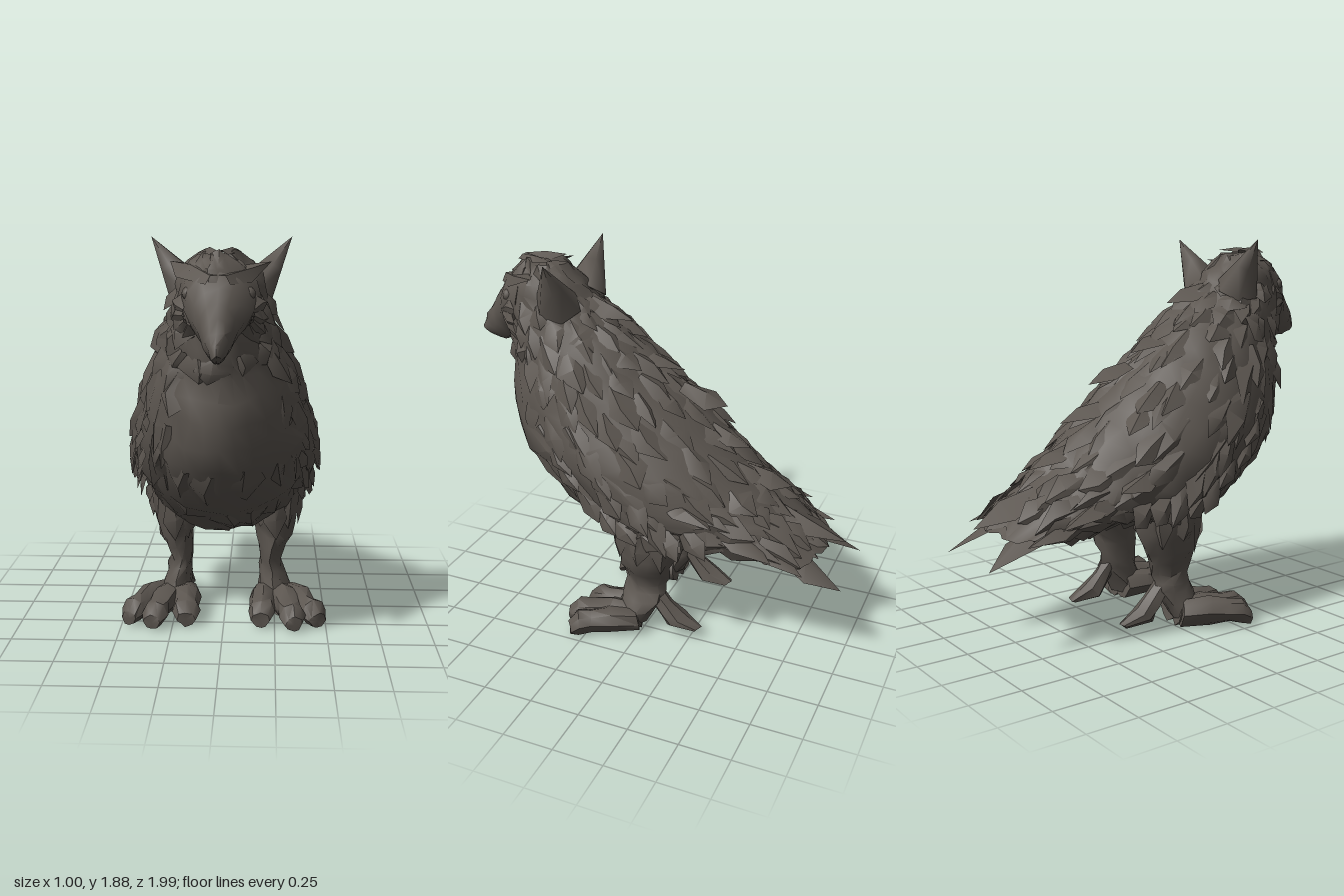
import * as THREE from 'three';
import { mergeGeometries, mergeVertices, toCreasedNormals } from 'three/addons/utils/BufferGeometryUtils.js';

const V = (x, y, z) => new THREE.Vector3(x, y, z);
let seed = 7;
const rnd = () => ((seed = (seed * 16807) % 2147483647) / 2147483647);
const jit = (a) => (rnd() - 0.5) * 2 * a;

// A ring is [zBack, yBack, zFront, yFront, halfWidth, centreX]; angle 0 is its back (upper) point.
// The front (lower) half is narrower, like an egg.
function ringPoint(r, a) {
  const c = Math.cos(a), s = Math.sin(a), [z0, y0, z1, y1, w, x = 0] = r;
  const egg = 1 - 0.25 * Math.max(0, -c);
  return V(x + w * s * egg, (y0 + y1) / 2 + (c * (y0 - y1)) / 2, (z0 + z1) / 2 + (c * (z0 - z1)) / 2);
}
function surfacePoint(rings, t, a) {
  const i = Math.max(0, Math.min(rings.length - 2, Math.floor(t)));
  return ringPoint(rings[i], a).lerp(ringPoint(rings[i + 1], a), t - i);
}
function axisPoint(rings, t) {
  return surfacePoint(rings, t, 0).lerp(surfacePoint(rings, t, Math.PI), 0.5);
}

// Capped skin over rings, slightly roughened
function loft(rings, sides, rough, steps = 1, crease = 0.6) {
  const pos = [], idx = [], n = (rings.length - 1) * steps;
  for (let j = 0; j <= n; j++)
    for (let i = 0; i < sides; i++) {
      const p = surfacePoint(rings, j / steps, (i / sides) * Math.PI * 2);
      pos.push(p.x + jit(rough), p.y + jit(rough), p.z + jit(rough));
      if (j === n) continue;
      const a = j * sides + i, b = j * sides + ((i + 1) % sides);
      idx.push(a, b, a + sides, b, b + sides, a + sides);
    }
  [0, n].forEach((j, k) => {
    const c = axisPoint(rings, j / steps), m = pos.length / 3;
    pos.push(c.x, c.y, c.z);
    for (let i = 0; i < sides; i++) {
      const a = j * sides + i, b = j * sides + ((i + 1) % sides);
      k ? idx.push(a, b, m) : idx.push(b, a, m);
    }
  });
  const g = new THREE.BufferGeometry();
  g.setAttribute('position', new THREE.Float32BufferAttribute(pos, 3));
  g.setIndex(idx);
  return toCreasedNormals(mergeVertices(g), crease);
}

// Ridged, slightly crooked feather leaf from root to tip
function feather(root, tip, width, up) {
  const d = tip.clone().sub(root);
  const side = d.clone().cross(up).normalize();
  const n = side.clone().cross(d).normalize();
  const at = (u, s, h) => root.clone().addScaledVector(d, u).addScaledVector(side, s * width).addScaledVector(n, h * width);
  const p = [at(0, -0.6, -0.3), at(0, 0, 0.05), at(0, 0.6, -0.3), at(0.5 + jit(0.15), -1, -0.25 + jit(0.15)),
    at(0.5, jit(0.3), 0.25), at(0.5 + jit(0.15), 1, -0.25 + jit(0.15)), at(1, jit(0.15), 0)];
  const g = new THREE.BufferGeometry().setFromPoints(p);
  g.setIndex([0, 1, 4, 0, 4, 3, 1, 2, 5, 1, 5, 4, 3, 4, 6, 4, 5, 6]);
  return toCreasedNormals(g, 0.9);
}

const bodyRings = [
  [0.51, 1.81, 0.72, 1.84, 0.09], [0.43, 1.73, 0.80, 1.76, 0.18], [0.36, 1.65, 0.84, 1.60, 0.20],
  [0.27, 1.58, 0.82, 1.43, 0.24], [0.12, 1.46, 0.79, 1.30, 0.30], [-0.02, 1.32, 0.82, 1.10, 0.36],
  [-0.17, 1.19, 0.75, 0.88, 0.42], [-0.32, 1.05, 0.50, 0.64, 0.45], [-0.46, 0.91, 0.25, 0.48, 0.42],
  [-0.59, 0.79, -0.05, 0.56, 0.365], [-0.72, 0.68, -0.30, 0.60, 0.31], [-0.86, 0.57, -0.68, 0.54, 0.24],
];
const beakRings = [
  [0.68, 1.82, 0.72, 1.47, 0.18], [0.80, 1.75, 0.79, 1.44, 0.145], [0.89, 1.63, 0.83, 1.40, 0.085],
  [0.96, 1.52, 0.87, 1.385, 0.055], [1.0, 1.43, 0.92, 1.39, 0.02],
];
const legRings = [
  [-0.22, 0.68, 0.17, 0.66, 0.14, 0.25], [-0.21, 0.52, 0.15, 0.52, 0.13, 0.24], [-0.15, 0.40, 0.12, 0.40, 0.095, 0.25],
  [-0.11, 0.28, 0.10, 0.28, 0.055, 0.225], [-0.10, 0.20, 0.12, 0.18, 0.07, 0.24], [-0.01, 0.06, 0.17, 0.03, 0.10, 0.26],
];
const toeRings = [
  [0.0, 0.15, -0.02, 0.02, 0.06], [0.14, 0.17, 0.14, 0.02, 0.075], [0.25, 0.145, 0.25, 0.025, 0.06],
  [0.32, 0.145, 0.32, 0.015, 0.065], [0.37, 0.09, 0.365, 0.015, 0.045],
];
const hindToeRings = [
  [-0.08, 0.26, -0.04, 0.17, 0.045, 0.23], [-0.14, 0.19, -0.09, 0.10, 0.05, 0.23],
  [-0.21, 0.13, -0.13, 0.05, 0.065, 0.23], [-0.30, 0.07, -0.27, 0.05, 0.03, 0.23],
];

export function createModel() {
  seed = 7;
  const model = new THREE.Group();
  const plumage = new THREE.MeshStandardMaterial({ color: 0x5c5650, side: THREE.DoubleSide });
  plumage.name = 'dark grey brown';
  const add = (name, geo, parent = model) => {
    const m = new THREE.Mesh(geo, plumage);
    m.name = name;
    parent.add(m);
    return m;
  };

  add('body', loft(bodyRings, 26, 0.014, 2, 0.8));
  add('beak', loft(beakRings, 12, 0.005, 2, 0.9));

  // A feather lying on the body from ring position t, with a lifted tip
  const bodyFeather = (t, a, length, width, lift) => {
    const root = surfacePoint(bodyRings, t, a);
    const out = root.clone().sub(axisPoint(bodyRings, t)).normalize();
    const tip = surfacePoint(bodyRings, Math.min(11, t + length), a + jit(0.12)).addScaledVector(out, lift);
    return feather(root, tip, width, out);
  };

  // Overlapping feathers along the head, back and flanks
  const coat = [];
  for (let row = 0; row < 15; row++)
    for (let i = 0; i < 11; i++) {
      const a = ((i + (row % 2) * 0.5) / 11 - 0.5) * 4.5 + jit(0.15);
      coat.push(bodyFeather(1.7 + row * 0.58 + jit(0.2), a, 0.8 + rnd() * 0.5, 0.05 + rnd() * 0.04, 0.005 + rnd() * 0.03));
    }
  // Broad ragged fringes across the throat, breast, belly and under the tail
  for (const [t, n] of [[3.3, 5], [6.2, 5], [7.0, 5], [7.9, 5], [8.7, 5], [9.4, 5], [10.0, 5]])
    for (let i = 0; i < n; i++)
      coat.push(bodyFeather(t + jit(0.25), Math.PI + (i / (n - 1) - 0.5) * 1.8 + jit(0.12), 0.75, 0.07 + rnd() * 0.04, 0.004));
  add('bodyFeathers', mergeGeometries(coat));

  // Tail fan: root x, y, z, tip x, y, z, width
  const tail = [];
  for (const s of [1, -1])
    for (const [x, y, z, X, Y, Z, w] of [
      [0.14, 0.65, -0.60, 0.20, 0.45, -0.99, 0.08], [0.08, 0.70, -0.65, 0.12, 0.56, -0.86, 0.08],
      [0.22, 0.67, -0.50, 0.29, 0.55, -0.83, 0.08], [0.27, 0.73, -0.40, 0.35, 0.62, -0.69, 0.08],
      [0.32, 0.86, -0.14, 0.40, 0.76, -0.41, 0.08], [0.14, 0.62, -0.45, 0.17, 0.52, -0.78, 0.08],
    ]) tail.push(feather(V(x * s, y, z), V(X * s, Y, Z), w, V(0.2 * s, 1, -0.3)));
  tail.push(feather(V(0, 0.75, -0.62), V(0, 0.60, -0.96), 0.11, V(0, 1, -0.3)));
  // Raised tips along the spine
  for (const [y, z] of [[1.58, 0.15], [1.35, -0.1], [1.21, -0.33], [1.03, -0.47], [0.84, -0.67]])
    tail.push(feather(V(0, y + 0.09, z + 0.22), V(jit(0.04), y, z), 0.09, V(0, 1, -0.2)));
  add('tailAndSpineFeathers', mergeGeometries(tail));

  for (const s of [1, -1]) {
    const side = new THREE.Group();
    side.name = s > 0 ? 'leftSide' : 'rightSide';
    side.scale.x = s;
    model.add(side);

    // Folded wing: drooping feather tips along its lower edge
    const wing = [];
    for (let i = 0; i < 8; i++) {
      const t = 5.4 + i * 0.45;
      for (const [a, drop, out] of [[1.5, 0.17, 0.03], [1.9, 0.12, 0.04]]) {
        const root = surfacePoint(bodyRings, t, a + jit(0.08));
        const tip = root.clone().add(V(out + jit(0.012), -drop + jit(0.04), -0.12));
        tip.y = Math.max(tip.y, 0.59 + jit(0.02));
        wing.push(feather(root, tip, 0.06, V(1, 0.2, 0)));
      }
    }
    add('wingFeathers', mergeGeometries(wing), side);

    // Pointed ear tuft leaning outwards
    const ear = new THREE.ConeGeometry(0.15, 0.3, 6, 2);
    ear.scale(0.7, 1, 0.8);
    ear.applyQuaternion(new THREE.Quaternion().setFromUnitVectors(V(0, 1, 0), V(0.57, 0.82, -0.08).normalize()));
    ear.translate(0.225, 1.77, 0.475);
    add('earTuft', toCreasedNormals(ear, 1.1), side);

    // Brow, crown and cheek ruff
    const face = [];
    face.push(feather(V(0.03, 1.74, 0.83), V(0.22, 1.79, 0.58), 0.06, V(0.3, 1, 0.6)));
    face.push(feather(V(0.01, 1.84, 0.74), V(0.07, 1.84, 0.54), 0.05, V(0, 1, 0)));
    for (let i = 0; i < 5; i++) {
      const b = -0.4 + i * 0.5;
      face.push(feather(V(0.11 + 0.04 * Math.cos(b), 1.58 - 0.05 * Math.sin(b), 0.79), V(0.14 + 0.07 * Math.cos(b), 1.57 - 0.14 * Math.sin(b), 0.69), 0.05, V(0.5, 0, 1)));
    }
    add('faceFeathers', mergeGeometries(face), side);
    const eye = new THREE.SphereGeometry(0.03, 10, 8);
    eye.translate(0.125, 1.665, 0.765);
    add('eye', eye, side);

    // Leg, thigh feathers, three front toes and a hind toe
    add('leg', loft(legRings, 10, 0.01, 2, 0.8), side);
    const thigh = [];
    for (let i = 0; i < 8; i++) {
      const a = (i / 8) * Math.PI * 2;
      const root = surfacePoint(legRings, 0.3, a), tip = surfacePoint(legRings, 1.4 + rnd() * 0.8, a);
      const out = V(Math.sin(a), 0, -Math.cos(a));
      thigh.push(feather(root, tip.addScaledVector(out, 0.012), 0.06, out));
    }
    add('thighFeathers', mergeGeometries(thigh), side);
    for (const [x, turn, len] of [[0.20, -0.06, 0.84], [0.27, 0.2, 1.0], [0.31, 0.46, 0.92]]) {
      const toe = add('frontToe', loft(toeRings, 8, 0.007, 1, 0.8), side);
      toe.position.set(x, 0, 0.02);
      toe.rotation.y = turn;
      toe.scale.z = len;
    }
    add('hindToe', loft(hindToeRings, 7, 0.006), side);
  }
  return model;
}
